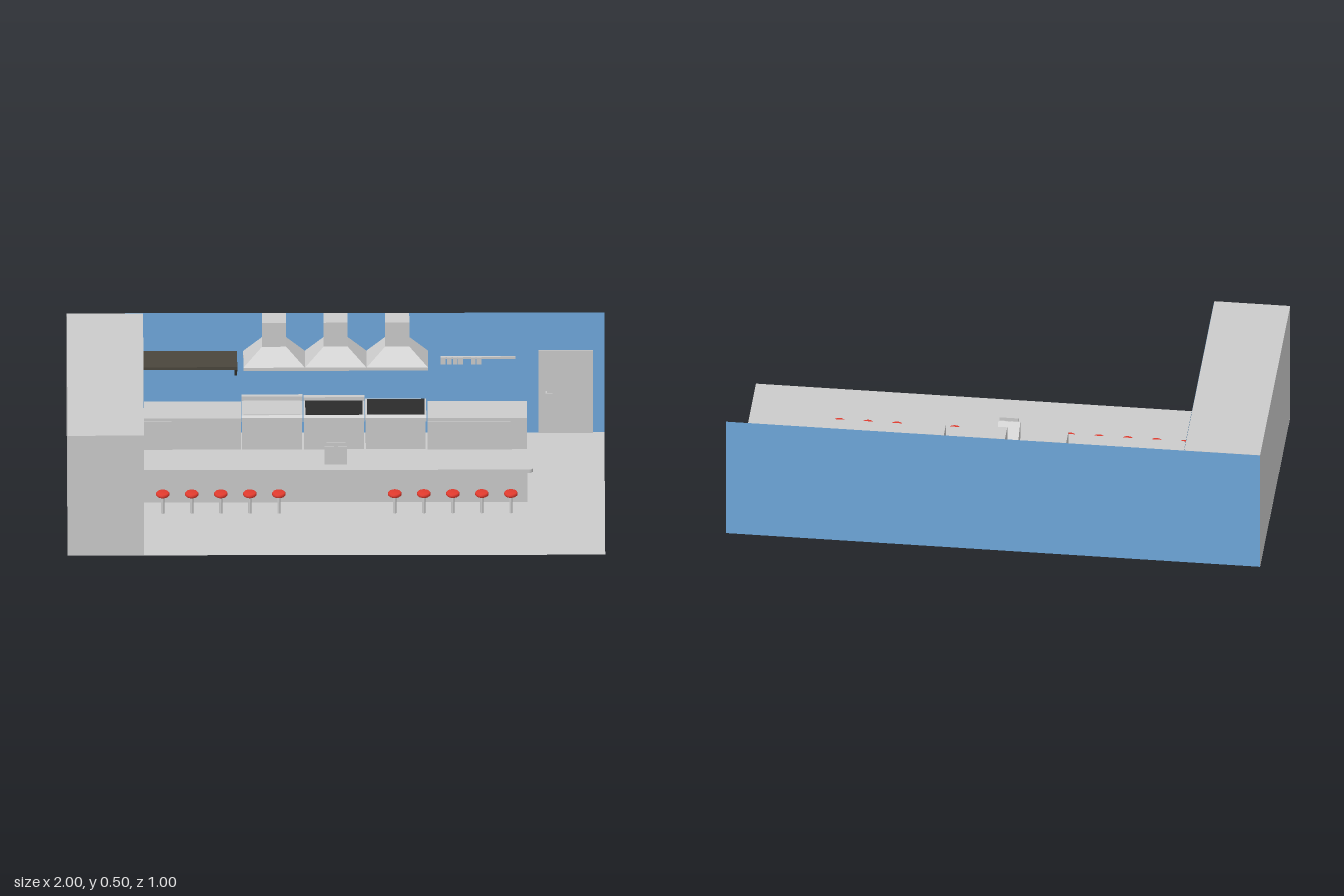
import * as THREE from 'three';

const mat = (color) => new THREE.MeshStandardMaterial({ color, side: THREE.DoubleSide });
const GREY = mat(0xcccccc), BLUE = mat(0x6fa8dc), RED = mat(0xe33b2e);
const BROWN = mat(0x4a463c), BLACK = mat(0x2b2b2b);

export function createModel() {
  const root = new THREE.Group();

  const add = (name, geometry, material = GREY, parent = root) => {
    const mesh = new THREE.Mesh(geometry, material);
    mesh.name = name;
    parent.add(mesh);
    return mesh;
  };
  const group = (name) => {
    const g = new THREE.Group();
    g.name = name;
    root.add(g);
    return g;
  };
  // Box given by its limits on each axis
  const box = (name, [x0, x1], [y0, y1], [z0, z1], material, parent) => {
    const g = new THREE.BoxGeometry(x1 - x0, y1 - y0, z1 - z0);
    g.translate((x0 + x1) / 2, (y0 + y1) / 2, (z0 + z1) / 2);
    return add(name, g, material, parent);
  };
  // Side profile of [z, y] points swept along x
  const sweep = (name, points, x0, x1, material, parent) => {
    const shape = new THREE.Shape(points.map(([z, y]) => new THREE.Vector2(z, y)));
    const g = new THREE.ExtrudeGeometry(shape, { depth: x1 - x0, bevelEnabled: false });
    g.rotateY(-Math.PI / 2).translate(x1, 0, 0);
    return add(name, g, material, parent);
  };

  // Room shell
  const floor = new THREE.PlaneGeometry(2, 1).rotateX(-Math.PI / 2);
  add('floor', floor);
  add('backWall', new THREE.PlaneGeometry(2, 0.5).translate(0, 0.25, -0.5), BLUE);
  box('sideBlock', [-1, -0.716], [0.001, 0.5], [-0.499, 0.5]);
  add('sideWall', new THREE.PlaneGeometry(1, 0.5).rotateY(Math.PI / 2).translate(-0.715, 0.25, 0), BLUE);

  // Bar with a rounded front corner on its top
  const bar = group('bar');
  box('barBody', [-0.714, 0.712], [0.001, 0.13], [-0.067, 0.07], GREY, bar);
  const top = new THREE.Shape();
  top.moveTo(-0.714, -0.068);
  top.lineTo(0.733, -0.068);
  top.lineTo(0.733, 0.068);
  top.quadraticCurveTo(0.733, 0.086, 0.715, 0.086);
  top.lineTo(-0.714, 0.086);
  const topGeo = new THREE.ExtrudeGeometry(top, { depth: 0.014, bevelEnabled: false });
  add('barTop', topGeo.rotateX(Math.PI / 2).translate(0, 0.144, 0), GREY, bar);

  // Cash register with a small customer display
  const register = group('register');
  sweep('registerBody', [[-0.04, 0.144], [0.043, 0.144], [0.043, 0.217], [0.036, 0.217], [-0.04, 0.171]],
    -0.042, 0.04, GREY, register);
  box('registerStem', [-0.008, 0.008], [0.212, 0.222], [0.037, 0.041], GREY, register);
  box('registerDisplay', [-0.036, 0.036], [0.219, 0.233], [0.036, 0.042], GREY, register);

  // Stools in two rows of five
  const seatProfile = [[0, 0.073], [0.021, 0.073], [0.025, 0.077], [0.025, 0.084], [0.022, 0.088], [0, 0.088]]
    .map(([r, y]) => new THREE.Vector2(r, y));
  const seatGeo = new THREE.LatheGeometry(seatProfile, 24);
  const postGeo = new THREE.CylinderGeometry(0.006, 0.006, 0.074, 16).translate(0, 0.038, 0);
  for (const start of [-0.645, 0.218]) {
    for (let i = 0; i < 5; i++) {
      const stool = group('stool');
      add('stoolSeat', seatGeo, RED, stool);
      add('stoolPost', postGeo, GREY, stool);
      stool.position.set(start + i * 0.108, 0, 0.157);
    }
  }

  // Counters along the back wall
  for (const [x0, x1] of [[-0.714, -0.352], [0.342, 0.712]]) {
    const counter = group('backCounter');
    box('counterBody', [x0, x1], [0.001, 0.118], [-0.499, -0.36], GREY, counter);
    box('counterTop', [x0, x1], [0.118, 0.131], [-0.499, -0.362], GREY, counter);
  }

  // Three cooking units: griddle, range and fryer, with a splash guard on two
  const W = 0.23;
  [['griddle', 0.161], ['range', 0.157], ['fryer', 0]].forEach(([name, guard], i) => {
    const x0 = -0.35 + i * W, x1 = x0 + W - 0.003;
    const unit = group(name);
    box('unitBody', [x0 + 0.002, x1 - 0.002], [0.001, 0.12], [-0.499, -0.362], GREY, unit);
    sweep('unitTop', [[-0.499, 0.118], [-0.358, 0.118], [-0.358, 0.134], [-0.365, 0.142], [-0.499, 0.142]],
      x0, x1, GREY, unit);
    if (guard) box('splashGuard', [x0, x1], [0.142, guard], [-0.499, -0.482], GREY, unit);
    box('cookingSurface', [x0 + 0.007, x1 - 0.007], [0.141, 0.144], [guard ? -0.482 : -0.494, -0.368],
      i ? BLACK : GREY, unit);
  });

  // Extractor hoods: rim, tapered canopy, duct
  for (let i = -1; i <= 1; i++) {
    const cx = i * 0.229, hood = group('hood');
    box('hoodRim', [cx - 0.1145, cx + 0.1145], [0.33, 0.343], [-0.499, -0.36], GREY, hood);
    const canopy = new THREE.BoxGeometry(0.229, 0.057, 0.139);
    const p = canopy.attributes.position;
    for (let v = 0; v < p.count; v++) {
      if (p.getY(v) < 0) continue;
      p.setX(v, Math.sign(p.getX(v)) * 0.045);
      if (p.getZ(v) > 0) p.setZ(v, 0.0095);
    }
    canopy.computeVertexNormals();
    add('hoodCanopy', canopy.translate(cx, 0.3715, -0.4295), GREY, hood);
    box('hoodDuct', [cx - 0.045, cx + 0.045], [0.4, 0.5], [-0.499, -0.42], GREY, hood);
  }

  // Wall shelf with a slanted brace at its free end
  const shelf = group('shelf');
  box('shelfBoard', [-0.714, -0.366], [0.331, 0.343], [-0.499, -0.365], BROWN, shelf);
  sweep('shelfBrace', [[-0.366, 0.331], [-0.383, 0.331], [-0.498, 0.252], [-0.498, 0.24]],
    -0.376, -0.366, BROWN, shelf);

  // Knife rack
  const rack = group('knifeRack');
  box('rackBar', [0.39, 0.67], [0.31, 0.319], [-0.499, -0.494], GREY, rack);
  for (const x of [0.4, 0.423, 0.445, 0.465, 0.512, 0.533]) {
    box('knifeBlade', [x - 0.009, x + 0.009], [0.288, 0.316], [-0.494, -0.491], GREY, rack);
  }

  // Door with lever handle
  const door = group('door');
  box('doorPanel', [0.755, 0.957], [0.001, 0.345], [-0.499, -0.493], GREY, door);
  const spindle = new THREE.CylinderGeometry(0.004, 0.004, 0.022, 12).rotateX(Math.PI / 2);
  add('handleSpindle', spindle.translate(0.785, 0.173, -0.482), GREY, door);
  box('handleLever', [0.78, 0.806], [0.17, 0.177], [-0.476, -0.47], GREY, door);

  return root;
}
